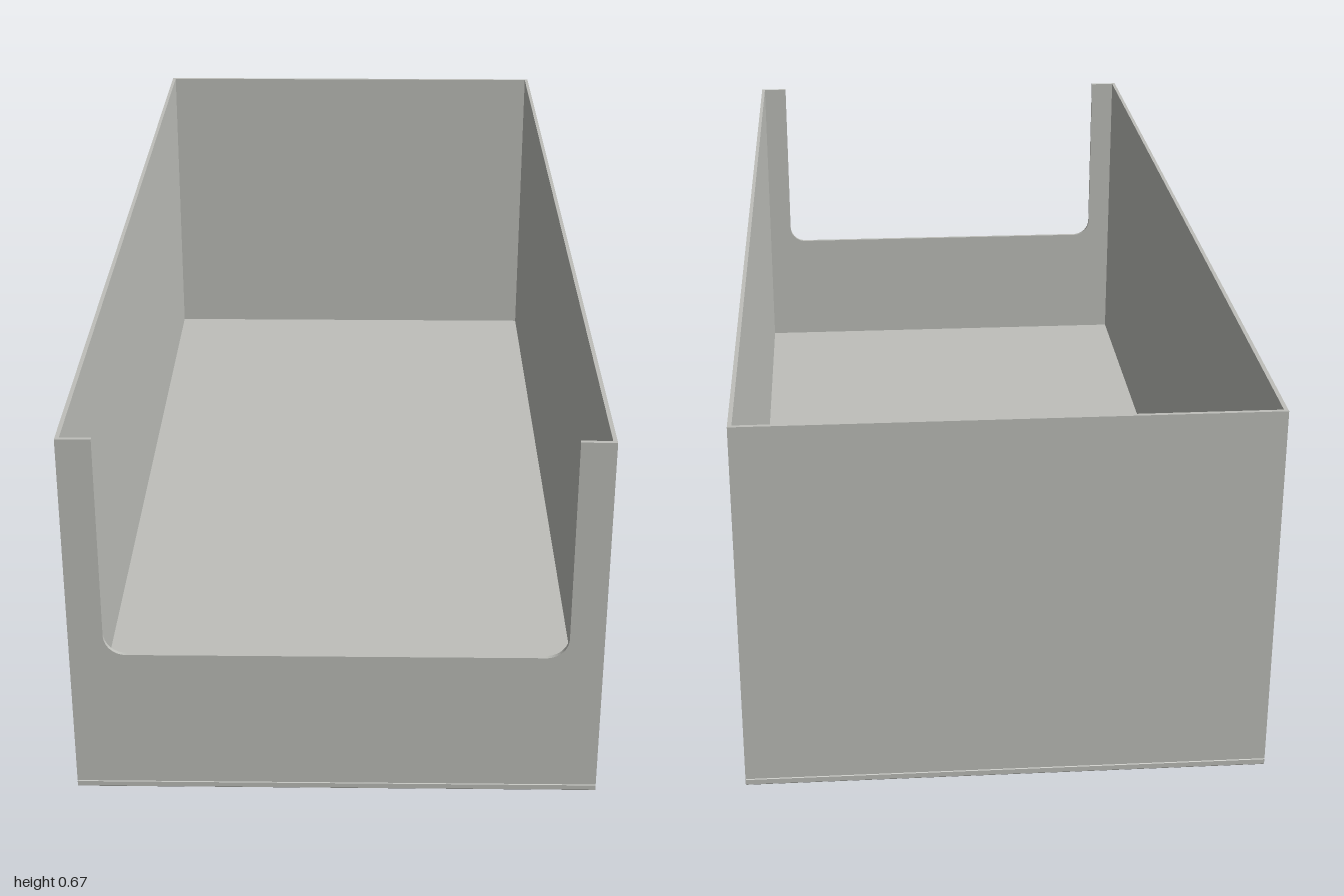
import * as THREE from 'three';

const W = 0.443, H = 0.667, D = 1, T = 0.007, BASE = 0.013;

export function createModel() {
  const group = new THREE.Group();
  const board = new THREE.MeshStandardMaterial({ color: 0xbebfba });
  board.name = 'pale grey board';

  const add = (name, geometry, x, y, z) => {
    const mesh = new THREE.Mesh(geometry, board);
    mesh.name = name;
    mesh.position.set(x, y, z);
    group.add(mesh);
  };
  const wallH = H - BASE, wallY = BASE + wallH / 2;

  // Floor panel with finely bevelled edges
  const b = 0.002;
  const floor = new THREE.Shape([
    new THREE.Vector2(-W + b, -D + b), new THREE.Vector2(W - b, -D + b),
    new THREE.Vector2(W - b, D - b), new THREE.Vector2(-W + b, D - b),
  ]);
  const floorGeometry = new THREE.ExtrudeGeometry(floor, {
    depth: BASE - 2 * b, bevelEnabled: true, bevelThickness: b, bevelSize: b, bevelSegments: 1,
  });
  floorGeometry.rotateX(-Math.PI / 2);
  add('floor', floorGeometry, 0, b, 0);

  // Long side walls
  for (const s of [-1, 1]) {
    add(s > 0 ? 'leftWall' : 'rightWall',
      new THREE.BoxGeometry(T, wallH, 2 * D - T), s * (W - T / 2), wallY, -T / 2);
  }

  // Back wall between the sides
  add('backWall', new THREE.BoxGeometry(2 * (W - T), wallH, T), 0, wallY, -D + T / 2);

  // Front wall with a wide round-cornered opening
  const cx = 0.385, cy = 0.267, r = 0.037;
  const front = new THREE.Shape();
  front.moveTo(-W, BASE);
  front.lineTo(W, BASE);
  front.lineTo(W, H);
  front.lineTo(cx, H);
  front.lineTo(cx, cy + r);
  front.absarc(cx - r, cy + r, r, 0, -Math.PI / 2, true);
  front.lineTo(-cx + r, cy);
  front.absarc(-cx + r, cy + r, r, -Math.PI / 2, -Math.PI, true);
  front.lineTo(-cx, H);
  front.lineTo(-W, H);
  front.closePath();
  add('frontWall',
    new THREE.ExtrudeGeometry(front, { depth: T, bevelEnabled: false, curveSegments: 10 }), 0, 0, D - T);

  return group;
}
